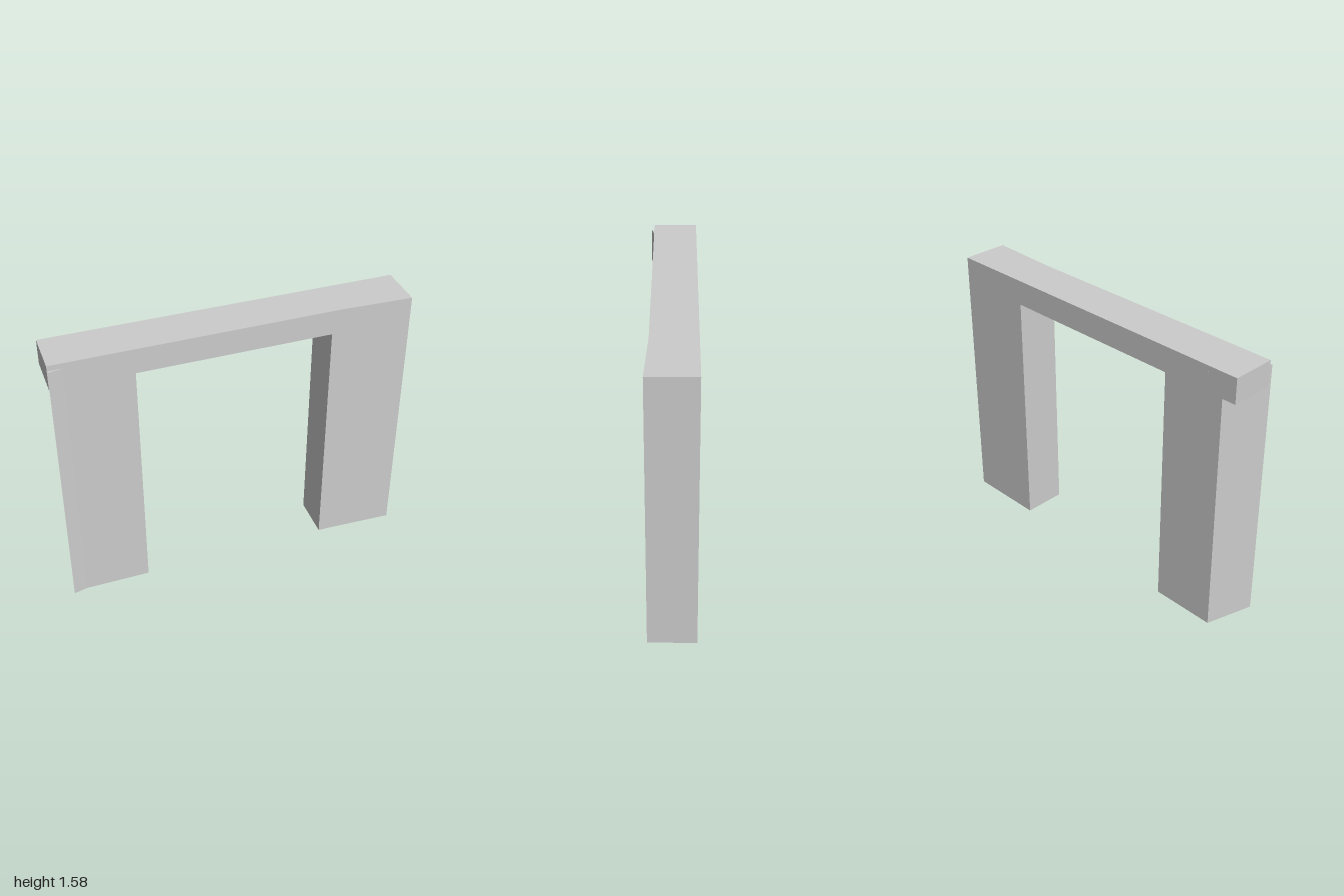
import * as THREE from 'three';

// Vertical prism from a plan outline of [x, z] corners
function prism(name, plan, y0, y1, material) {
  const shape = new THREE.Shape(plan.map(([x, z]) => new THREE.Vector2(x, -z)));
  const geometry = new THREE.ExtrudeGeometry(shape, { depth: y1 - y0, bevelEnabled: false });
  geometry.rotateX(-Math.PI / 2);
  geometry.translate(0, y0, 0);
  const mesh = new THREE.Mesh(geometry, material);
  mesh.name = name;
  return mesh;
}

export function createModel() {
  const group = new THREE.Group();
  group.name = 'doorway';
  const material = new THREE.MeshStandardMaterial({ color: 0xcccccc, flatShading: true });
  const legTop = 1.545;

  // Lintel: slightly bowed front, slightly skewed back
  group.add(prism('lintel', [
    [-1, 0.123], [0.6, 0.111], [1, 0.125], [1, -0.14], [-1, -0.13],
  ], 1.43, 1.575, material));

  // Right pier: slanted outer end with a small flare at the front corner
  group.add(prism('rightPier', [
    [-1, 0.14], [-0.92, 0.1224], [-0.55, 0.1196], [-0.55, -0.1323], [-0.92, -0.1304],
  ], 0, legTop, material));

  // Left pier: flush with the end of the lintel
  group.add(prism('leftPier', [
    [0.545, 0.1114], [0.6, 0.111], [1, 0.125], [1, -0.14], [0.545, -0.1377],
  ], 0, legTop, material));

  return group;
}
